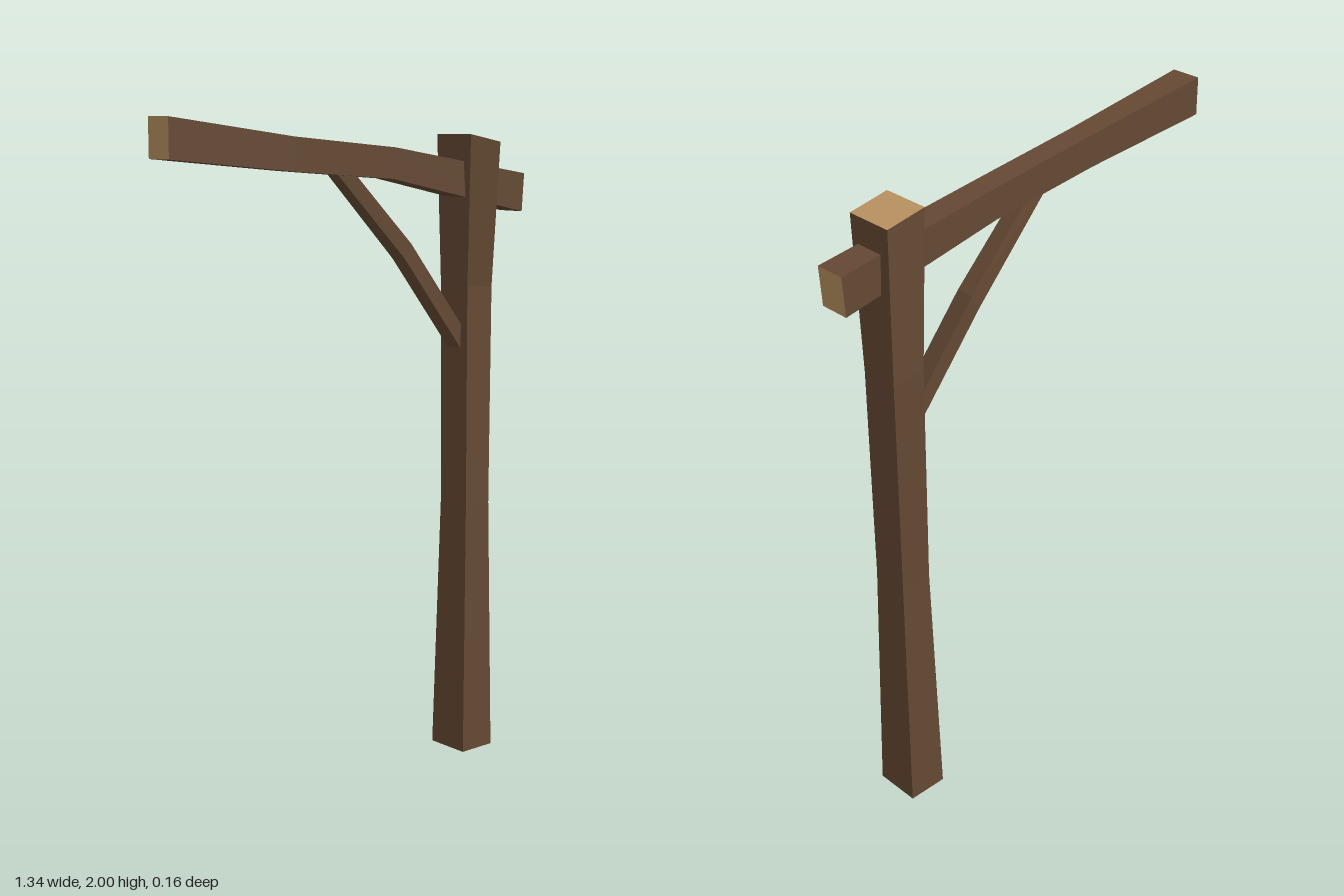
import * as THREE from 'three';

const bark = new THREE.MeshStandardMaterial({ color: 0x664a34, flatShading: true, side: THREE.DoubleSide });
bark.name = 'brown timber';
const cut = new THREE.MeshStandardMaterial({ color: 0xba9362, flatShading: true, side: THREE.DoubleSide });
cut.name = 'pale cut wood';

// Flat-shaded surface from quads, each with four counterclockwise corners
function quadMesh(name, quads, material) {
  const points = quads.flatMap(([a, b, c, d]) => [a, b, c, a, c, d]);
  const geometry = new THREE.BufferGeometry();
  geometry.setAttribute('position', new THREE.Float32BufferAttribute(points.flat(), 3));
  geometry.computeVertexNormals();
  const mesh = new THREE.Mesh(geometry, material);
  mesh.name = name;
  return mesh;
}

// Hewn timber through four-cornered rings, counterclockwise seen from the end
function timber(name, rings, capStart, capEnd) {
  const group = new THREE.Group();
  group.name = name;
  const sides = [];
  for (let i = 0; i < rings.length - 1; i++) {
    for (let j = 0; j < 4; j++) {
      const k = (j + 1) % 4;
      sides.push([rings[i][j], rings[i][k], rings[i + 1][k], rings[i + 1][j]]);
    }
  }
  group.add(quadMesh(name + 'Sides', sides, bark));
  if (capStart) group.add(quadMesh(name + 'StartCut', [[...rings[0]].reverse()], cut));
  if (capEnd) group.add(quadMesh(name + 'EndCut', [rings[rings.length - 1]], cut));
  return group;
}

// Ring across an upright: yl and yr are the heights of its two x edges
const uprightRing = ([yl, yr, x0, x1, z0, z1]) =>
  [[x0, yl, z1], [x1, yr, z1], [x1, yr, z0], [x0, yl, z0]];

// Ring across a horizontal piece: lower and upper edge points, z range
const crossRing = ([xb, yb, xt, yt, z0, z1]) =>
  [[xb, yb, z1], [xb, yb, z0], [xt, yt, z0], [xt, yt, z1]];

export function createModel() {
  const model = new THREE.Group();
  model.name = 'timberPost';

  // Crooked post, open underneath
  model.add(timber('post', [
    [0, 0, 0.412, 0.537, -0.063, 0.08],
    [0.8, 0.8, 0.433, 0.532, -0.056, 0.058],
    [1.49, 1.48, 0.447, 0.552, -0.08, 0.038],
    [1.948, 1.925, 0.413, 0.539, -0.067, 0.08],
  ].map(uprightRing), false, true));

  // Sagging crossbeam through the post head
  model.add(timber('beam', [
    [-0.672, 1.888, -0.672, 2.0, -0.035, 0.058],
    [-0.245, 1.849, -0.24, 1.945, -0.027, 0.049],
    [0.145, 1.82, 0.155, 1.911, -0.048, 0.03],
    [0.66, 1.71, 0.668, 1.827, -0.035, 0.058],
  ].map(crossRing), true, true));

  // Bent diagonal brace, its ends buried in the beam and post
  model.add(timber('brace', [
    [-0.076, 1.85, -0.009, 1.85, -0.024, 0.022],
    [0.214, 1.58, 0.24, 1.624, -0.049, 0.008],
    [0.475, 1.255, 0.475, 1.33, -0.043, 0.015],
  ].map(crossRing), false, false));

  return model;
}
